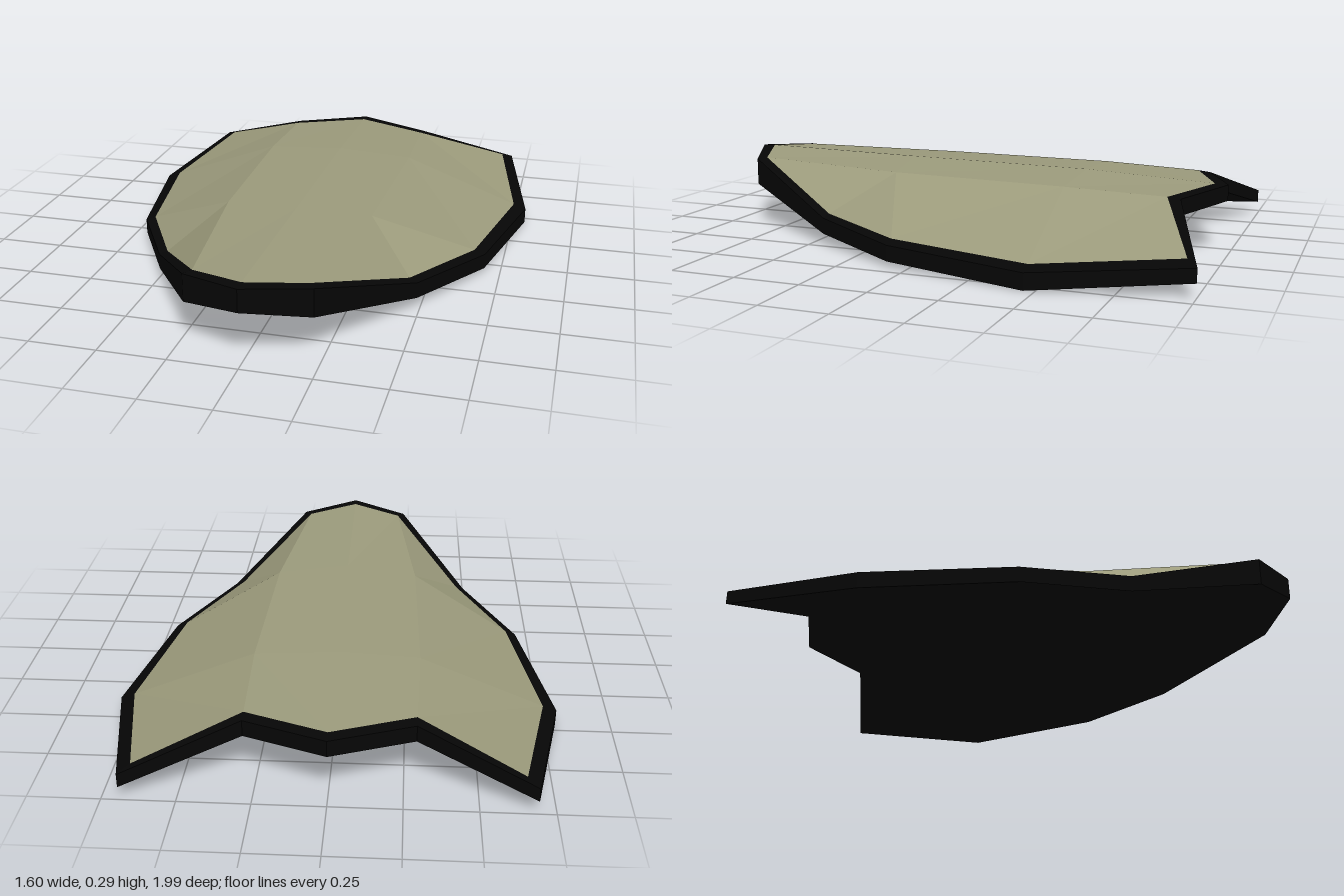
import * as THREE from 'three';

// Half outline, back centre round the side to the front tip:
// inner rim [x, y, z], outer rim [x, y, z], height of the lower edge
const edge = {
  c0: { inner: [0, 0.245, -0.93], outer: [0, 0.243, -0.98], low: 0.183 },
  n0: { inner: [0.29, 0.24, -0.815], outer: [0.29, 0.235, -0.862], low: 0.175 },
  e0: { inner: [0.65, 0.118, -0.96], outer: [0.69, 0.1, -1], low: 0.05 },
  e1: { inner: [0.75, 0.077, -0.46], outer: [0.8, 0.06, -0.46], low: 0 },
  e2: { inner: [0.65, 0.093, 0.08], outer: [0.69, 0.078, 0.08], low: 0.02 },
  e3: { inner: [0.46, 0.117, 0.43], outer: [0.49, 0.105, 0.44], low: 0.045 },
  n3: { inner: [0.2, 0.267, 0.855], outer: [0.225, 0.264, 0.885], low: 0.16 },
  c3: { inner: [0, 0.286, 0.94], outer: [0, 0.285, 0.99], low: 0.2 },
};

// Bend points of the vaulted plate inside the outline
const bends = {
  c1: [0, 0.268, -0.44],
  n1: [0.3, 0.252, -0.44],
  c2: [0, 0.276, 0.28],
  n2: [0.28, 0.258, 0.235],
};
const thickness = 0.07;

// Facets of one half plate, wound to face up
const facets = [
  ['c0', 'c1', 'n1', 'n0'], ['c1', 'c2', 'n2', 'n1'], ['c2', 'c3', 'n3', 'n2'],
  ['n0', 'n1', 'e1', 'e0'], ['n1', 'n2', 'e2', 'e1'],
  ['n2', 'e3', 'e2'], ['n2', 'n3', 'e3'],
];

const topPoint = (k) => bends[k] ?? edge[k].inner;
const lowPoint = (e) => [e.outer[0], e.low, e.outer[2]];
const underPoint = (k) => bends[k]
  ? [bends[k][0], bends[k][1] - thickness, bends[k][2]]
  : lowPoint(edge[k]);

// Flat-shaded mesh from polygons of one half plus their mirror images
function mirroredMesh(name, polygons, material) {
  const positions = [];
  const fan = (p) => {
    for (let i = 1; i < p.length - 1; i++) positions.push(...p[0], ...p[i], ...p[i + 1]);
  };
  for (const p of polygons) {
    fan(p);
    const [first, ...rest] = p.map(([x, y, z]) => [-x, y, z]);
    fan([first, ...rest.reverse()]);
  }
  const geometry = new THREE.BufferGeometry();
  geometry.setAttribute('position', new THREE.Float32BufferAttribute(positions, 3));
  geometry.computeVertexNormals();
  const mesh = new THREE.Mesh(geometry, material);
  mesh.name = name;
  return mesh;
}

export function createModel() {
  const olive = new THREE.MeshStandardMaterial({ color: 0x9c9b7c, flatShading: true });
  const black = new THREE.MeshStandardMaterial({ color: 0x060606, flatShading: true });

  const group = new THREE.Group();
  group.name = 'shield';

  // Rim border on top and the wall around the outside
  const rim = [];
  const loop = Object.values(edge);
  for (let i = 0; i < loop.length - 1; i++) {
    const a = loop[i], b = loop[i + 1];
    rim.push([a.inner, b.inner, b.outer, a.outer]);
    rim.push([a.outer, b.outer, lowPoint(b), lowPoint(a)]);
  }

  group.add(
    mirroredMesh('facePlate', facets.map((f) => f.map(topPoint)), olive),
    mirroredMesh('rim', rim, black),
    // Hollow underside, wound to face down
    mirroredMesh('backPlate', facets.map((f) => {
      const [first, ...rest] = f.map(underPoint);
      return [first, ...rest.reverse()];
    }), black),
  );
  return group;
}
